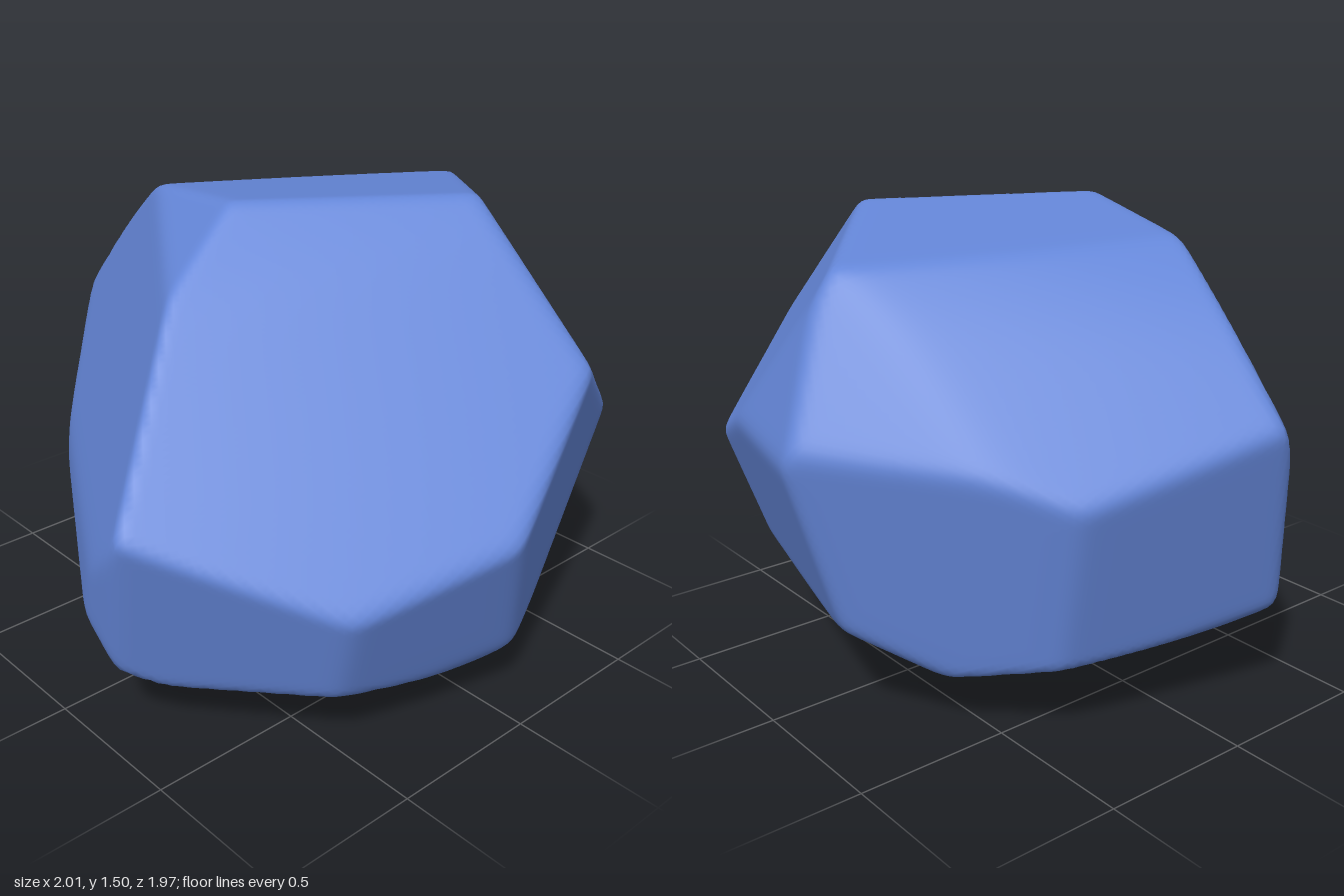
import * as THREE from 'three';
import { mergeVertices } from 'three/addons/utils/BufferGeometryUtils.js';

// Facets of the boulder: outward normal (x, y, z) and distance from the origin
const FACETS = [
  [0.095, 0.988, -0.116, 1.447],   // top
  [-0.38, 0.63, 0.68, 1.095],      // large front slope
  [-0.36, 0.72, 0.59, 1.185],      // front slope, upper part
  [0.687, 0.541, 0.484, 1.225],    // front left slope
  [0.911, 0.36, 0.196, 1.19],      // left shoulder
  [0.25, 0.80, -0.55, 1.365],      // back slope, upper part
  [0.339, 0.70, -0.63, 1.275],     // back slope
  [0.40, 0.60, -0.69, 1.20],       // back slope, lower part
  [0.617, 0.493, -0.614, 1.19],    // back left shoulder
  [-0.60, 0.764, -0.222, 1.325],   // right upper band
  [-0.80, 0.39, -0.453, 0.95],     // right slope
  [-0.86, 0.10, -0.49, 0.83],      // right wall
  [-0.75, -0.50, -0.50, 0.488],    // right lower chamfer
  [-0.70, 0, -0.71, 0.835],        // back right corner
  [-1, -0.12, 0, 0.928],           // right tip
  [-0.75, -0.25, 0.60, 0.78],      // front right wall
  [-0.23, -0.30, 0.925, 0.727],    // front wall
  [0.373, -0.125, 0.919, 0.795],   // front left wall
  [0.62, -0.45, 0.64, 0.545],      // front left chamfer
  [0.937, -0.279, 0.21, 0.653],    // left wall
  [0.60, -0.80, -0.10, 0.255],     // left lower chamfer
  [0.738, -0.158, -0.655, 0.722],  // back left wall
  [0.26, -0.20, -0.945, 0.715],    // back wall
  [0.05, -0.81, -0.585, 0.24],     // back lower chamfer
  [-0.10, -0.75, 0.65, 0.41],      // front lower chamfer
  [0.433, -0.879, 0.205, 0.045],   // underside, left
  [0.042, -0.967, -0.252, -0.06],  // underside, back
  [-0.218, -0.949, 0.228, 0.078],  // underside, front right
  [-0.26, -1, -0.24, -0.04],       // underside, back right
  [0, -1, 0, 0.005]                // foot
];

const CENTRE = new THREE.Vector3(0, 0.75, 0);
const SHARPNESS = 90;
const ROUNDING_ALLOWANCE = 1.008; // makes up for what the soft edges take off

export function createModel() {
  const planes = FACETS.map(([x, y, z, d]) => {
    const n = new THREE.Vector3(x, y, z);
    const length = n.length();
    n.divideScalar(length);
    return { n, d: (d / length - n.dot(CENTRE)) * ROUNDING_ALLOWANCE };
  });

  // Fine sphere pushed in to the facets, with softly rounded edges
  let geometry = new THREE.IcosahedronGeometry(1, 48);
  geometry.deleteAttribute('normal');
  geometry.deleteAttribute('uv');
  geometry = mergeVertices(geometry, 1e-5);
  const position = geometry.attributes.position;
  const v = new THREE.Vector3();
  for (let i = 0; i < position.count; i++) {
    v.fromBufferAttribute(position, i).normalize();
    let sum = 0;
    for (const { n, d } of planes) sum += Math.max(0, n.dot(v) / d) ** SHARPNESS;
    v.multiplyScalar(sum ** (-1 / SHARPNESS));
    position.setXYZ(i, v.x, v.y, v.z);
  }

  // Centre it and stand it on the ground
  geometry.computeBoundingBox();
  const { min, max } = geometry.boundingBox;
  geometry.translate(-(min.x + max.x) / 2, -min.y, -(min.z + max.z) / 2);
  geometry.computeVertexNormals();

  const stoneBlue = new THREE.MeshStandardMaterial({ color: 0x6486d8 });
  stoneBlue.name = 'stoneBlue';
  const boulder = new THREE.Mesh(geometry, stoneBlue);
  boulder.name = 'boulder';

  const group = new THREE.Group();
  group.name = 'rock';
  group.add(boulder);
  return group;
}
